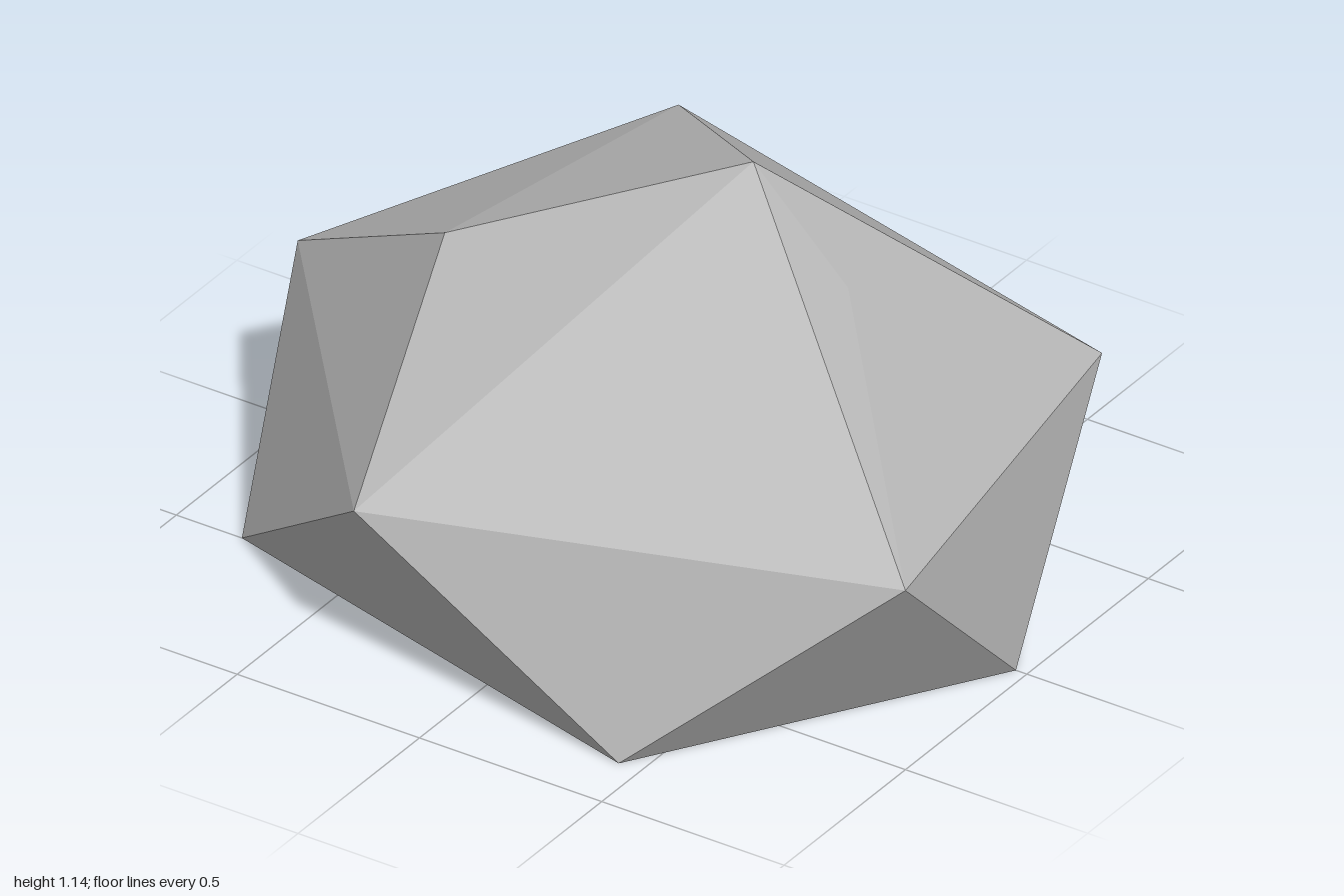
import * as THREE from 'three';
import { ConvexGeometry } from 'three/addons/geometries/ConvexGeometry.js';

export function createModel() {
  const model = new THREE.Group();
  model.name = 'rock';
  const stone = new THREE.MeshStandardMaterial({ color: 0xb8b8b8 });
  stone.name = 'grey stone';

  // Corner rings of the faceted boulder: [height, [x, z] corners]
  const rings = [
    // flat foot
    [0, [[-0.91, -0.465], [-0.82, 0.5], [0.44, 0.84], [0.97, 0], [0.36, -0.75]]],
    // widest girth
    [0.48, [[-1, 0], [-0.24, 0.91], [1, 0.5], [0.8, -0.61], [-0.37, -0.91]]],
    // shoulders
    [0.89, [[-0.37, 0.34], [-0.235, -0.42], [0.53, 0.03]]],
    // peak
    [1.14, [[0.27, 0.03]]],
  ];
  const corners = rings.flatMap(([y, ring]) => ring.map(([x, z]) => new THREE.Vector3(x, y, z)));

  // The boulder is the convex hull of its corners, with flat facets
  const boulder = new THREE.Mesh(new ConvexGeometry(corners), stone);
  boulder.name = 'boulder';
  model.add(boulder);
  return model;
}
